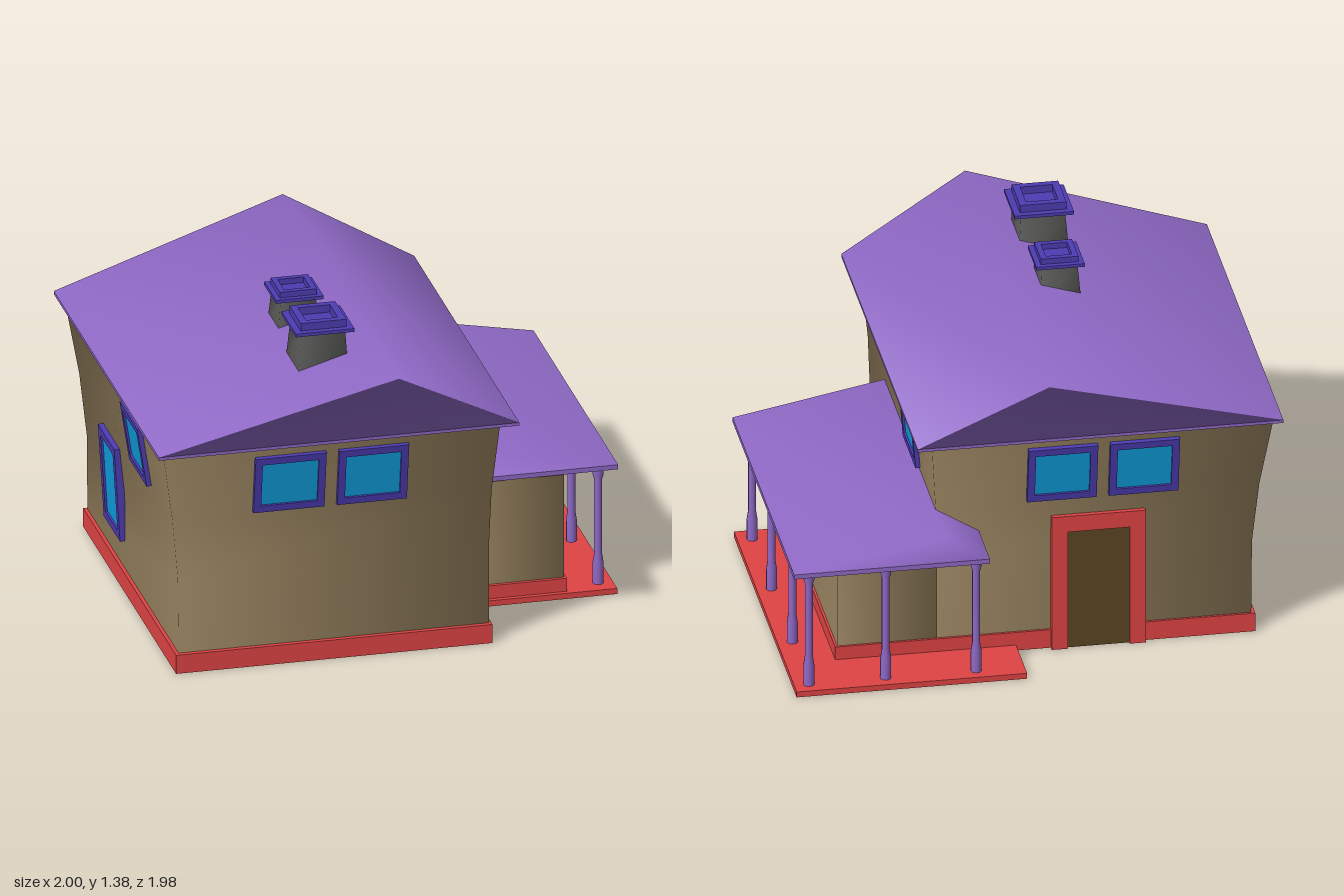
import * as THREE from 'three';

const mat = (name, color, side = THREE.FrontSide) => {
  const m = new THREE.MeshStandardMaterial({ color, side });
  m.name = name;
  return m;
};

export function createModel() {
  const house = new THREE.Group();
  house.name = 'house';
  const roofPurple = mat('roof purple', 0x8f69c6);
  const trimIndigo = mat('trim indigo', 0x4c3cb2);
  const wallTan = mat('wall tan', 0x97825f, THREE.DoubleSide);
  const baseRed = mat('base red', 0xe04444);
  const glassBlue = mat('glass blue', 0x10a0e0);
  const doorBrown = mat('door brown', 0x5a4622);
  const flueGrey = mat('flue grey', 0x5a5a58, THREE.DoubleSide);

  const add = (parent, name, geo, material, x = 0, y = 0, z = 0) => {
    const m = new THREE.Mesh(geo, material);
    m.name = name;
    m.position.set(x, y, z);
    parent.add(m);
    return m;
  };

  const indexed = (pos, idx) => {
    const g = new THREE.BufferGeometry();
    g.setAttribute('position', new THREE.Float32BufferAttribute(pos, 3));
    g.setIndex(idx);
    g.computeVertexNormals();
    return g;
  };

  // Open four-sided shell through rectangles [y, x0, x1, z0, z1]
  const loft = (sections) => {
    const pos = [], idx = [];
    sections.forEach(([y, x0, x1, z0, z1], s) => {
      pos.push(x0, y, z1, x1, y, z1, x1, y, z0, x0, y, z0);
      if (s === 0) return;
      for (let i = 0; i < 4; i++) {
        const a = (s - 1) * 4 + i, b = (s - 1) * 4 + (i + 1) % 4;
        idx.push(a, b, b + 4, a, b + 4, a + 4);
      }
    });
    return indexed(pos, idx);
  };

  const outline = (pts) => pts.map(([x, y]) => new THREE.Vector2(x, y));

  // Upright plan outline (x, z) with an optional hole, from y = 0 to h
  const slab = (pts, h, hole) => {
    const s = new THREE.Shape(outline(pts));
    if (hole) s.holes.push(new THREE.Path(outline(hole)));
    return new THREE.ExtrudeGeometry(s, { depth: h, bevelEnabled: false })
      .rotateX(Math.PI / 2).translate(0, h, 0);
  };

  const rect = (w, h) => [[-w / 2, -h / 2], [w / 2, -h / 2], [w / 2, h / 2], [-w / 2, h / 2]];

  // Rectangular frame facing +z, centred in depth
  const frame = (w, h, border, depth) => {
    const s = new THREE.Shape(outline(rect(w, h)));
    s.holes.push(new THREE.Path(outline(rect(w - 2 * border, h - 2 * border))));
    return new THREE.ExtrudeGeometry(s, { depth, bevelEnabled: false }).translate(0, 0, -depth / 2);
  };

  // Base ring and flared walls
  add(house, 'base', slab(
    [[-0.905, -0.73], [0.79, -0.73], [0.79, 0.42], [0.39, 0.42], [0.39, 0.8], [-0.905, 0.8]], 0.08,
    [[-0.88, -0.705], [0.765, -0.705], [0.765, 0.395], [0.365, 0.395], [0.365, 0.775], [-0.88, 0.775]],
  ), baseRed);
  add(house, 'mainWalls', loft([
    [0.07, -0.89, 0.38, -0.72, 0.78], [0.4, -0.893, 0.38, -0.72, 0.778],
    [0.66, -0.92, 0.386, -0.735, 0.8], [0.975, -0.97, 0.41, -0.785, 0.85],
  ]), wallTan);
  add(house, 'annexWalls', loft([
    [0.07, 0.37, 0.78, -0.72, 0.405], [0.535, 0.37, 0.78, -0.72, 0.405],
  ]), wallTan);

  // Gabled roof whose ridge overhangs the eaves, on a thin eave slab
  const roof = (name, x0, x1, zb, zf, y, rx, ry, rzb, rzf, t) => {
    const g = new THREE.Group();
    g.name = name;
    house.add(g);
    add(g, 'roofSlopes', indexed(
      [x0, y, zf, x1, y, zf, rx, ry, rzf, x0, y, zb, x1, y, zb, rx, ry, rzb],
      [0, 1, 2, 4, 3, 5, 1, 4, 5, 1, 5, 2, 3, 0, 2, 3, 2, 5],
    ), roofPurple);
    add(g, 'eaves', new THREE.BoxGeometry(x1 - x0, t, zf - zb), roofPurple,
      (x0 + x1) / 2, y - t / 2, (zf + zb) / 2);
  };
  roof('mainRoof', -1, 0.475, -0.833, 0.9, 0.985, -0.04, 1.265, -0.928, 0.99, 0.013);
  roof('porchRoof', 0.21, 1, -0.98, 0.415, 0.547, 0.385, 0.66, -0.99, 0.42, 0.02);

  // Porch floor wrapping the annex
  add(house, 'porchFloor', slab([
    [0.385, 0.44], [0.385, 0.42], [0.79, 0.42], [0.79, -0.73], [0.06, -0.73],
    [0.06, -0.98], [0.99, -0.98], [0.99, 0.44],
  ], 0.024), baseRed);

  // Turned porch posts
  const postProfile = [[0.022, 0], [0.022, 0.09], [0.016, 0.13], [0.016, 0.45], [0.022, 0.47], [0.022, 0.51]];
  const postGeo = new THREE.LatheGeometry(outline(postProfile), 10);
  for (const [x, z] of [[0.93, 0.365], [0.93, -0.075], [0.93, -0.545], [0.93, -0.92], [0.62, -0.92], [0.255, -0.92]]) {
    add(house, 'porchPost', postGeo, roofPurple, x, 0.022, z);
  }

  // Windows leaning with the walls: width, height, border, position, facing, tilt
  const win = (w, h, b, x, y, z, facing, tilt) => {
    const g = new THREE.Group();
    g.name = 'window';
    g.position.set(x, y, z);
    g.rotation.set(tilt, facing, 0, 'YXZ');
    add(g, 'windowFrame', frame(w, h, b, 0.04), trimIndigo);
    add(g, 'windowPane', new THREE.BoxGeometry(w - 2 * b, h - 2 * b, 0.022), glassBlue);
    house.add(g);
  };
  const Q = Math.PI / 2;
  win(0.29, 0.25, 0.03, -0.448, 0.797, 0.82, 0, 0.155);
  win(0.285, 0.25, 0.03, -0.108, 0.797, 0.82, 0, 0.155);
  win(0.28, 0.25, 0.03, -0.45, 0.797, -0.757, 2 * Q, 0.155);
  win(0.28, 0.25, 0.03, -0.12, 0.797, -0.757, 2 * Q, 0.155);
  win(0.29, 0.255, 0.03, 0.396, 0.802, -0.248, Q, 0.08);
  win(0.29, 0.255, 0.03, -0.942, 0.802, 0.32, -Q, 0.155);
  win(0.27, 0.4, 0.035, -0.904, 0.4, -0.23, -Q, 0.06);
  win(0.15, 0.17, 0.016, 0.78, 0.335, 0.107, Q, 0);
  win(0.15, 0.17, 0.016, 0.78, 0.335, -0.337, Q, 0);

  // Back door with a red surround
  const door = new THREE.Group();
  door.name = 'backDoor';
  door.position.set(-0.27, 0, -0.733);
  const surround = new THREE.Shape(outline([
    [-0.19, 0], [-0.125, 0], [-0.125, 0.52], [0.125, 0.52], [0.125, 0], [0.19, 0], [0.19, 0.59], [-0.19, 0.59],
  ]));
  add(door, 'doorSurround', new THREE.ExtrudeGeometry(surround, { depth: 0.045, bevelEnabled: false }), baseRed, 0, 0, -0.018);
  add(door, 'doorPanel', new THREE.BoxGeometry(0.25, 0.52, 0.024), doorBrown, 0, 0.26, 0.006);
  house.add(door);

  // Tapered chimneys with brimmed, hollow caps
  const chimney = (x, z, w, brimY, capH) => {
    const g = new THREE.Group();
    g.name = 'chimney';
    g.position.set(x, 0, z);
    const r = w * 0.37, k = w * 0.43;
    add(g, 'flue', loft([[1.14, -k, k, -k - 0.015, r], [brimY, -r, r, -r, r]]), flueGrey);
    add(g, 'capBrim', new THREE.BoxGeometry(w, 0.014, w), trimIndigo, 0, brimY + 0.005, 0);
    add(g, 'capRim', frame(w * 0.78, w * 0.78, w * 0.12, capH).rotateX(Q), trimIndigo, 0, brimY + 0.01 + capH / 2, 0);
    house.add(g);
  };
  chimney(-0.256, 0.524, 0.24, 1.336, 0.034);
  chimney(-0.253, 0.116, 0.195, 1.3, 0.026);

  return house;
}
